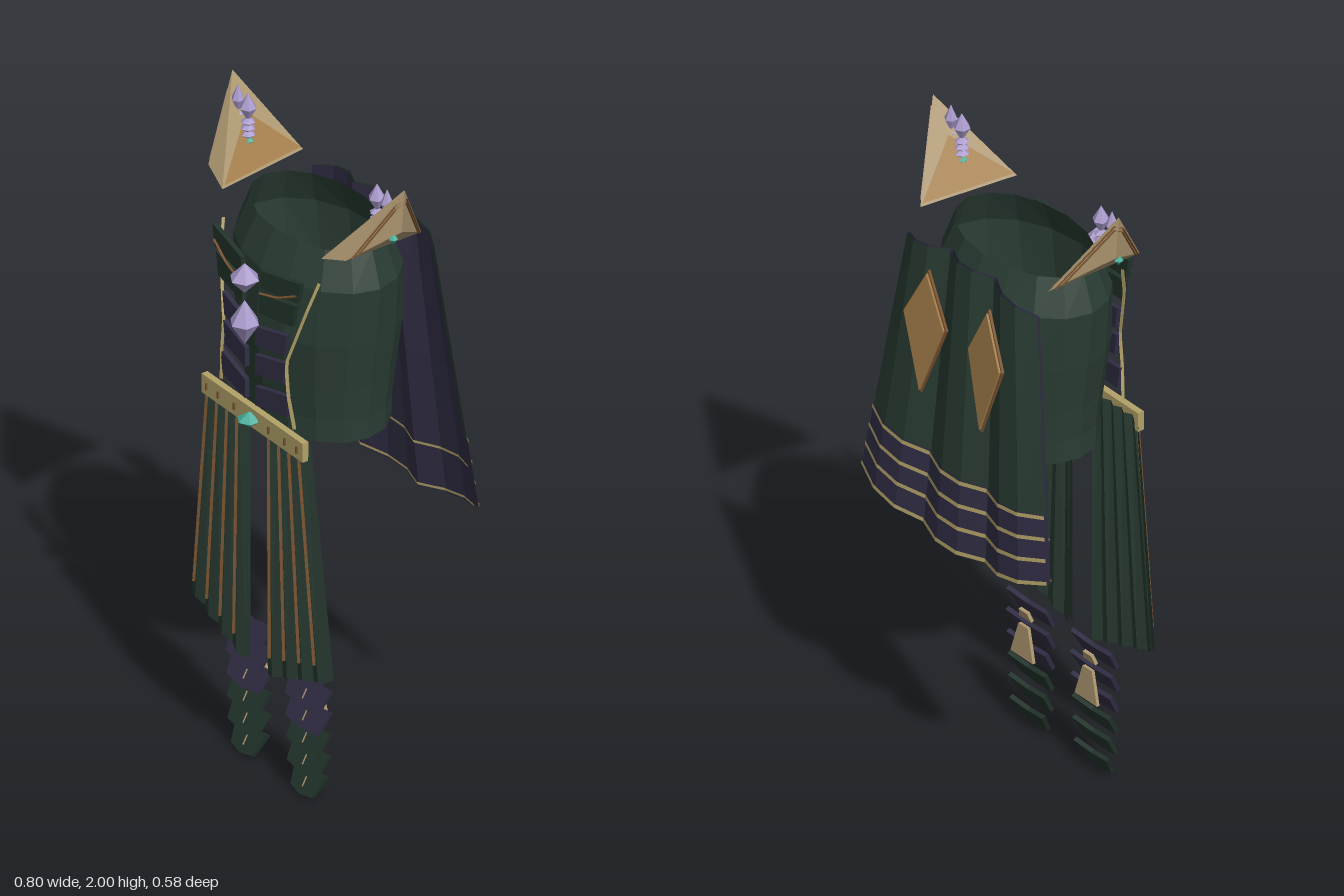
import * as THREE from 'three';
import { ConvexGeometry } from 'three/addons/geometries/ConvexGeometry.js';

const mat = (name, color) => {
  const m = new THREE.MeshStandardMaterial({ color, side: THREE.DoubleSide });
  m.name = name;
  return m;
};
const lerp = THREE.MathUtils.lerp;

export function createModel() {
  const root = new THREE.Group();
  root.name = 'ceremonialArmour';
  const green = mat('dark green', 0x2a3d34);
  const deepGreen = mat('deep green', 0x22342c);
  const purple = mat('dark purple', 0x312e45);
  const gold = mat('pale gold', 0xb3a268);
  const tan = mat('tan', 0xae9871);
  const ochre = mat('ochre', 0xa57f4b);
  const bronze = mat('bronze', 0x7d5632);
  const lilac = mat('lilac gem', 0xa99acb);
  const teal = mat('teal gem', 0x45ab98);

  const add = (name, geo, material, pos = [0, 0, 0], rot = [0, 0, 0]) => {
    const g = geo.index ? geo.toNonIndexed() : geo;
    g.computeVertexNormals(); // faceted normals
    const m = new THREE.Mesh(g, material);
    m.name = name;
    m.position.set(...pos);
    m.rotation.set(...rot);
    root.add(m);
    return m;
  };

  // Surface from a rule: u runs across, v runs down
  const sheet = (fn, nu, nv) => {
    const pos = [], idx = [];
    for (let j = 0; j <= nv; j++)
      for (let i = 0; i <= nu; i++) pos.push(...fn(i / nu, j / nv));
    for (let j = 0; j < nv; j++)
      for (let i = 0; i < nu; i++) {
        const a = j * (nu + 1) + i, c = a + nu + 1;
        idx.push(a, c, a + 1, a + 1, c, c + 1);
      }
    const g = new THREE.BufferGeometry();
    g.setAttribute('position', new THREE.Float32BufferAttribute(pos, 3));
    g.setIndex(idx);
    return g;
  };

  // Flat plate cut from an outline, centred in depth
  const plate = (pts, depth) => {
    const shape = new THREE.Shape(pts.map(p => new THREE.Vector2(...p)));
    return new THREE.ExtrudeGeometry(shape, { depth, bevelEnabled: false }).translate(0, 0, -depth / 2);
  };
  const rod = (pts, r) => {
    const path = new THREE.CurvePath();
    const v = pts.map(p => new THREE.Vector3(...p));
    for (let i = 1; i < v.length; i++) path.add(new THREE.LineCurve3(v[i - 1], v[i]));
    return new THREE.TubeGeometry(path, (v.length - 1) * 4, r, 4);
  };
  // Six-sided double-pointed crystal
  const crystal = (r, h) => sheet((u, v) => {
    const a = u * Math.PI * 2, k = v === 0.5 ? r : 0;
    return [Math.sin(a) * k, h * (0.5 - v), Math.cos(a) * k];
  }, 6, 2);

  // Body: open oval shell, rows of [y, half width, half depth]
  const rows = [[1.74, 0.25, 0.15], [1.63, 0.288, 0.198], [1.45, 0.268, 0.21],
    [1.3, 0.245, 0.195], [1.2, 0.235, 0.182], [1.13, 0.235, 0.18]];
  add('body', sheet((u, v) => {
    const [y, rx, rz] = rows[Math.round(v * 5)];
    const a = u * Math.PI * 2;
    return [Math.sin(a) * rx, y, Math.cos(a) * rz];
  }, 16, 5), green);

  // Cape: rippled sheet, wider and further back at the hem
  const cape = (u, t, off) => {
    const y = lerp(1.73 - 0.04 * u * u, 0.835 + 0.065 * u * u, t);
    const z = lerp(-0.21, -0.27, t) - 0.02 * Math.cos(3 * Math.PI * u);
    return [u * lerp(0.28, 0.4, t), y, z + off];
  };
  const capeBand = (name, t0, t1, m, off, dir) =>
    add(name, sheet((u, v) => cape(dir * (2 * u - 1), lerp(t0, t1, v), off), 9, 2), m);
  capeBand('capeOuter', 0, 0.74, green, 0, -1);
  capeBand('capeHem', 0.74, 1, purple, -0.002, -1);
  capeBand('capeLining', 0, 1, purple, 0.008, 1);
  for (const t of [0.74, 0.82, 0.9, 0.985]) capeBand('capeTrim', t, t + 0.014, gold, -0.006, -1);
  for (const t of [0.83, 0.982]) capeBand('liningTrim', t, t + 0.009, gold, 0.011, 1);

  // Belt
  add('belt', new THREE.BoxGeometry(0.47, 0.06, 0.02), gold, [0, 1.16, 0.215]);
  add('beltGem', crystal(0.035, 0.05), teal, [0, 1.16, 0.235]);

  // Chest gems
  add('upperChestGem', crystal(0.043, 0.095), lilac, [0, 1.615, 0.25]);
  add('lowerChestGem', crystal(0.043, 0.14), lilac, [0, 1.475, 0.25]);

  for (const s of [-1, 1]) {
    const X = pts => pts.map(([x, ...r]) => [s * x, ...r]);

    // Cape diamonds
    add('capeDiamond', plate([[0, 0.18], [0.076, 0.03], [0, -0.19], [-0.076, 0.03]], 0.012),
      ochre, [s * 0.13, 1.47, -0.254], [0.07, s * 0.1, 0]);
    add('capeDiamondRim', plate([[0, 0.19], [0.082, 0.03], [0, -0.2], [-0.082, 0.03]], 0.008),
      bronze, [s * 0.13, 1.47, -0.249], [0.07, s * 0.1, 0]);

    // Chest and belly plates, rising to the outside
    const chest = (y, inner, outer, h, m, name) => add(name, plate(X([
      [inner, y - h / 2], [outer - 0.012, y - h / 2 + 0.015],
      [outer, y + h / 2 + 0.025], [inner, y + h / 2]]), 0.014), m, [0, 0, 0.228], [-0.0, s * 0.12, 0]);
    chest(1.625, 0.045, 0.205, 0.055, deepGreen, 'chestPlate');
    chest(1.545, 0.04, 0.185, 0.06, deepGreen, 'chestPlate');
    [1.435, 1.345, 1.245].forEach((y, i) =>
      chest(y, 0.022, [0.15, 0.145, 0.16][i], 0.06, purple, 'bellyPlate'));
    add('chestPiping', rod(X([[0.222, 1.67, 0.16], [0.2, 1.58, 0.185], [0.145, 1.4, 0.215],
      [0.155, 1.3, 0.215], [0.17, 1.2, 0.205]]), 0.006), gold);
    add('chestTrim', rod(X([[0.05, 1.585, 0.236], [0.12, 1.6, 0.226], [0.19, 1.635, 0.215]]), 0.004), bronze);

    // Pleated skirt panel with bronze ribs
    const skirt = (u, v, off) => [
      s * lerp(0.05, lerp(0.232, 0.32, v), u),
      lerp(1.175, lerp(0.36, 0.46, u), v),
      0.212 + (Math.round(u * 8) % 2 ? 0.007 : -0.005) - 0.012 * u * u * v + off];
    for (const off of [0, -0.014])
      add('skirtPanel', sheet((u, v) => skirt(u, v, off), 8, 1), green);
    for (const u of [0.125, 0.375, 0.625, 0.875])
      add('skirtRib', rod([skirt(u, 0.06, 0.004), skirt(u, 0.92, 0.008)], 0.0055), bronze);
    for (const x of [0.08, 0.155, 0.21])
      add('beltStud', new THREE.BoxGeometry(0.006, 0.022, 0.006), bronze, [s * x, 1.16, 0.227]);

    // Overlapping shin plates
    const shin = [[0.395, 0.085, purple], [0.325, 0.088, purple], [0.255, 0.084, purple],
      [0.185, 0.08, deepGreen], [0.115, 0.077, deepGreen], [0.045, 0.071, deepGreen]];
    shin.forEach(([y, w, m], i) => {
      const k = i === 5 ? 0.68 : 0.84;
      add('shinPlate', plate([[-w, 0.04], [0, 0.03], [w, 0.04], [w * k, -0.036],
        [0, -0.046], [-w * k, -0.036]], 0.013), m, [s * 0.138, y, 0.138], [-0.5, 0, 0]);
      if (i) add('shinRidge', new THREE.BoxGeometry(0.004, 0.03, 0.004), tan,
        [s * 0.138, y - 0.004, 0.147], [-0.5, 0, 0]);
    });
    add('calfPlate', plate([[-0.02, 0.05], [0.02, 0.05], [0.048, -0.05], [-0.048, -0.05]], 0.01),
      tan, [s * 0.138, 0.3, 0.106], [0.05, 0, 0]);
    add('calfTip', plate([[-0.018, 0.015], [0.018, 0.015], [0.026, -0.015], [-0.026, -0.015]], 0.01),
      tan, [s * 0.138, 0.385, 0.112], [-0.3, 0, 0]);

    // Shoulder guard: faceted pointed shell
    const [A, B, C, D, E] = X([[0.4, 2, 0], [0.275, 1.755, -0.148], [0.23, 1.755, 0.158],
      [0.32, 1.785, 0.14], [0.388, 1.86, 0.0]]).map(p => new THREE.Vector3(...p));
    add('shoulderGuard', new ConvexGeometry([A, B, C, D, E]), tan);
    // Inner panel set just above the upper face
    const n = B.clone().sub(A).cross(C.clone().sub(A)).normalize();
    if (n.y < 0) n.negate();
    const mid = A.clone().lerp(B.clone().add(C).multiplyScalar(0.5), 0.42);
    const tri = [mid, B.clone().lerp(mid, 0.05), C.clone().lerp(mid, 0.05)].map(p => p.addScaledVector(n, 0.004));
    add('shoulderPanel', new THREE.BufferGeometry().setFromPoints(s < 0 ? tri : [tri[0], tri[2], tri[1]]), ochre);
    // Ridge lines on the outer side
    for (const k of [0.1, 0.2]) {
      const q = p => p.clone().lerp(E, k).add(new THREE.Vector3(s * 0.004, 0, 0)).toArray();
      add('shoulderRidge', rod([q(B), q(A), q(D)], 0.003), bronze);
    }
    add('shoulderGem', crystal(0.014, 0.035), teal, [s * 0.375, 1.84, 0.02]);

    // Shoulder crystals on beaded stems
    for (const [x, r, y] of [[0.3, 0.025, 1.935], [0.347, 0.019, 1.94]]) {
      add('shoulderCrystal', crystal(r, 0.09), lilac, [s * x, y, 0.02]);
      for (const i of [0, 1, 2])
        add('crystalBead', crystal(r * 0.85, 0.032), lilac, [s * x, y - 0.045 - i * 0.02, 0.02]);
      add('crystalBase', crystal(r * 0.7, 0.03), teal, [s * x, y - 0.105, 0.02]);
    }
  }
  return root;
}
